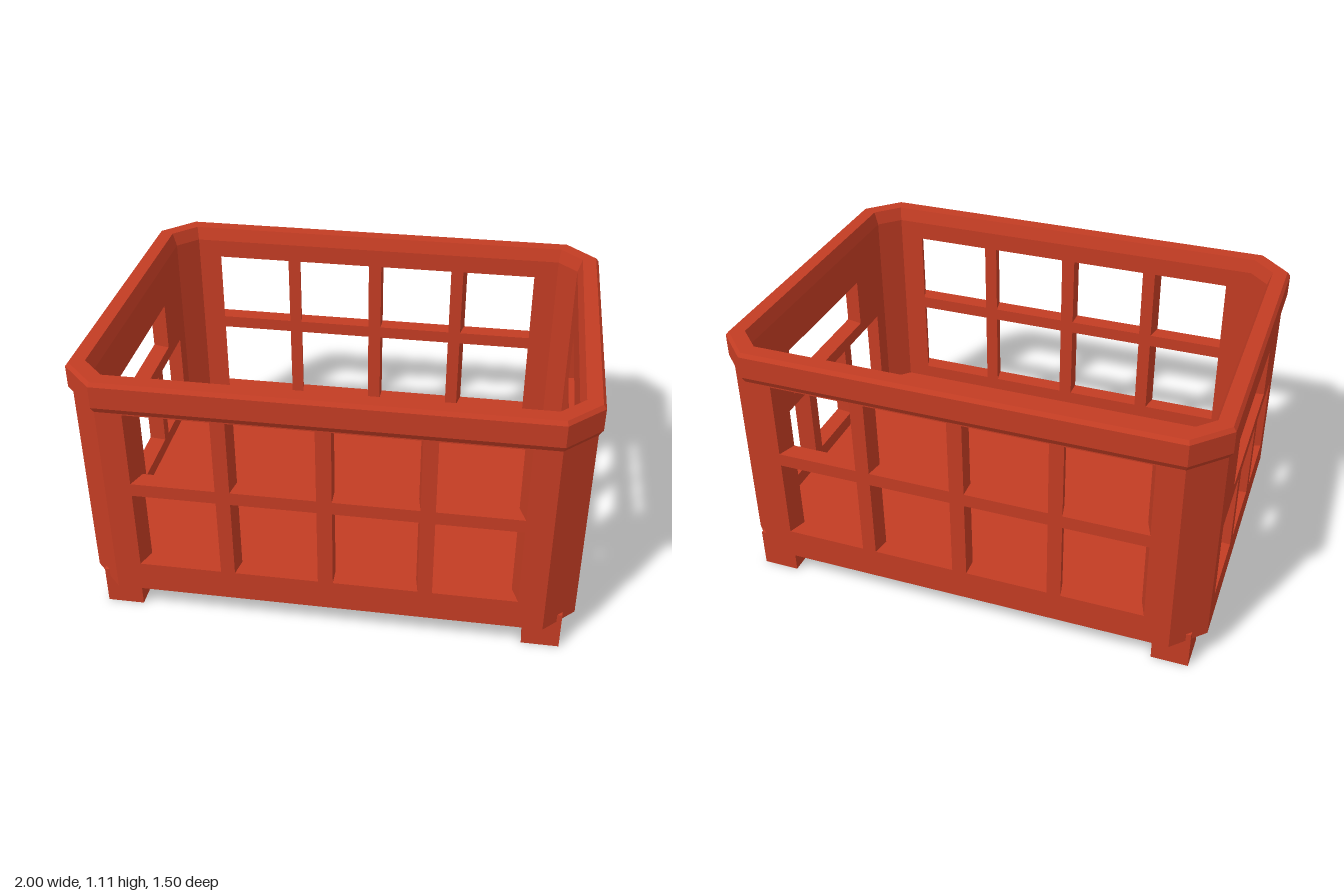
import * as THREE from 'three';

const red = new THREE.MeshStandardMaterial({ color: 0xc23c23 });
red.name = 'crate red';

const HX = 0.985, HZ = 0.735;      // outer half width and half depth of the body
const CUT = 0.125;                 // corner chamfer
const T = 0.073;                   // wall thickness
const TAN = Math.tan(Math.PI / 8); // mitre where two walls meet
const BASE = 0.13, WALL_TOP = 0.975;

// Chamfered rectangle, offset outward by o, as [x, z] corners from +x towards +z
function octagon(o) {
  const x = HX + o, z = HZ + o, a = HX - CUT + o * TAN, b = HZ - CUT + o * TAN;
  return [[x, -b], [x, b], [a, z], [-a, z], [-x, b], [-x, -b], [-a, -z], [a, -z]];
}

function rectangle(Type, x0, x1, y0, y1) {
  return new Type([[x0, y0], [x1, y0], [x1, y1], [x0, y1]].map(p => new THREE.Vector2(...p)));
}

// Wall panel whose sides and window jambs taper towards its inner face
function panelGeometry(width, windows) {
  const shape = rectangle(THREE.Shape, -width / 2, width / 2, BASE, WALL_TOP);
  windows.forEach(w => shape.holes.push(rectangle(THREE.Path, ...w)));
  const g = new THREE.ExtrudeGeometry(shape, { depth: T, bevelEnabled: false });
  const taper = 1 - 2 * T * TAN / width, p = g.attributes.position;
  for (let i = 0; i < p.count; i++) {
    if (p.getZ(i) < T / 2) p.setX(i, p.getX(i) * taper);
    p.setZ(i, p.getZ(i) - T);
  }
  g.computeVertexNormals();
  return g;
}

// Band swept round the octagon from a profile of [offset, y]
function ringGeometry(profile) {
  const rings = profile.map(([o, y]) => octagon(o).map(([x, z]) => [x, y, z]));
  const pos = [];
  for (let j = 0; j < rings.length - 1; j++) {
    for (let i = 0; i < 8; i++) {
      const k = (i + 1) % 8;
      const a = rings[j][i], b = rings[j][k], c = rings[j + 1][k], d = rings[j + 1][i];
      pos.push(...a, ...d, ...b, ...b, ...d, ...c);
    }
  }
  const g = new THREE.BufferGeometry();
  g.setAttribute('position', new THREE.Float32BufferAttribute(pos, 3));
  g.computeVertexNormals();
  return g;
}

export function createModel() {
  const crate = new THREE.Group();
  crate.name = 'crate';
  const add = (name, geometry, x = 0, y = 0, z = 0, turn = 0) => {
    const m = new THREE.Mesh(geometry, red);
    m.name = name;
    m.position.set(x, y, z);
    m.rotation.y = turn;
    crate.add(m);
  };

  // Long walls: two rows of four windows
  const longWindows = [];
  for (const [y0, y1] of [[0.26, 0.6], [0.655, 0.97]]) {
    for (const [x0, x1] of [[-0.755, -0.422], [-0.365, -0.03], [0.03, 0.365], [0.422, 0.755]]) {
      longWindows.push([x0, x1, y0, y1]);
    }
  }
  const longWall = panelGeometry(2 * (HX - CUT), longWindows);
  add('frontWall', longWall, 0, 0, HZ);
  add('backWall', longWall, 0, 0, -HZ, Math.PI);

  // Short walls: three windows below a hand hold
  const shortWall = panelGeometry(2 * (HZ - CUT), [
    [-0.525, -0.215, 0.26, 0.6], [-0.155, 0.155, 0.26, 0.6], [0.215, 0.525, 0.26, 0.6],
    [-0.34, 0.34, 0.655, 0.87],
  ]);
  add('leftWall', shortWall, HX, 0, 0, Math.PI / 2);
  add('rightWall', shortWall, -HX, 0, 0, -Math.PI / 2);

  // Chamfered corners and feet
  const corner = panelGeometry(CUT * Math.SQRT2, []);
  const foot = new THREE.BoxGeometry(0.15, 0.165, 0.15);
  for (const sx of [1, -1]) {
    for (const sz of [1, -1]) {
      add('cornerPost', corner, sx * (HX - CUT / 2), 0, sz * (HZ - CUT / 2), Math.atan2(sx, sz));
      add('foot', foot, sx * 0.859, 0.0825, sz * 0.606);
    }
  }

  // Floor
  const floorShape = new THREE.Shape(octagon(-T).map(([x, z]) => new THREE.Vector2(x, z)));
  const floor = new THREE.ExtrudeGeometry(floorShape, { depth: 0.07, bevelEnabled: false });
  floor.rotateX(-Math.PI / 2);
  add('floor', floor, 0, BASE, 0);

  // Rim with bevelled edges
  add('rim', ringGeometry([
    [0, 0.975], [0.015, 1.0], [0.015, 1.09], [0.003, 1.105],
    [-0.055, 1.105], [-T, 1.05], [-T, 0.975],
  ]));

  return crate;
}
